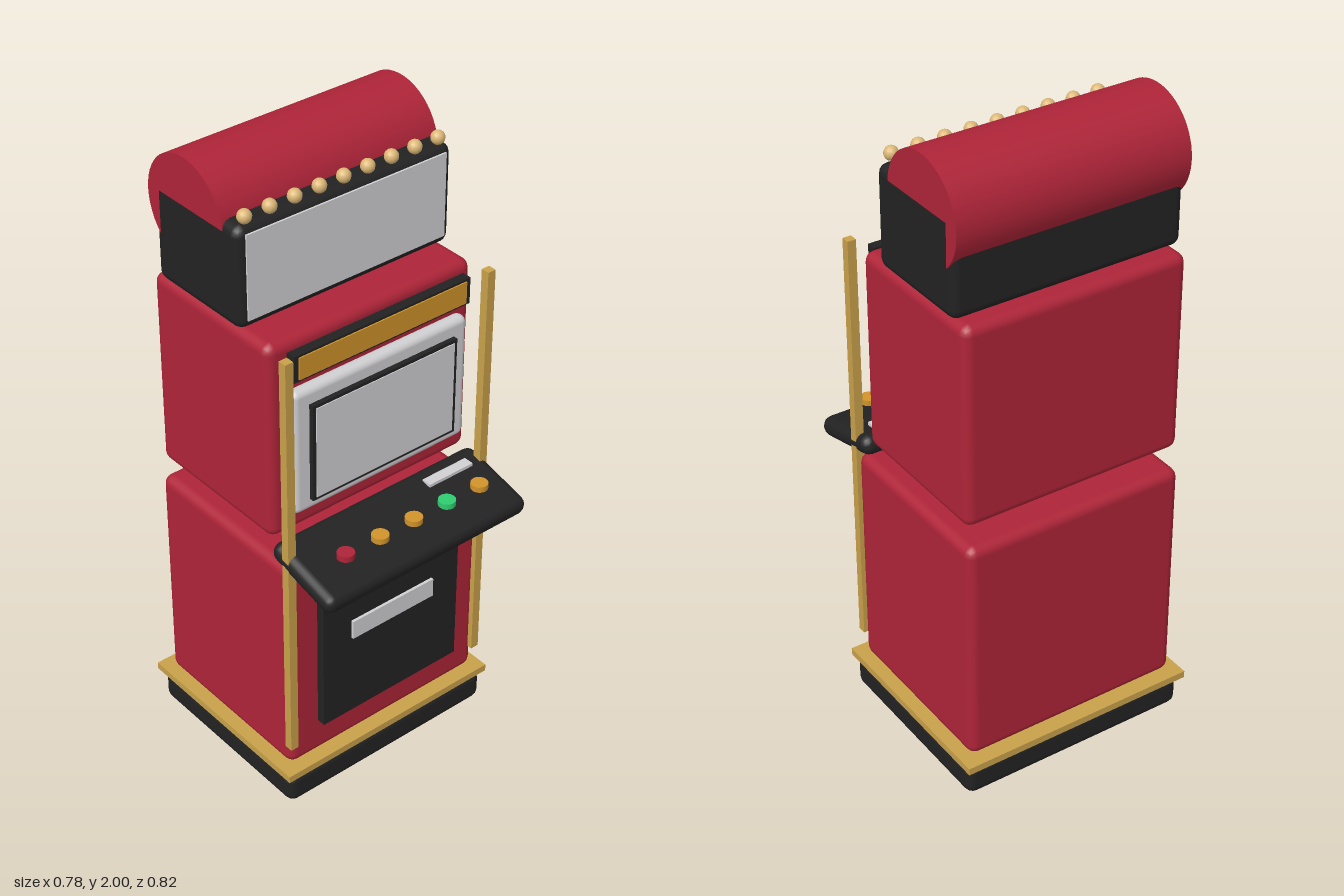
import * as THREE from 'three';
import { RoundedBoxGeometry } from 'three/addons/geometries/RoundedBoxGeometry.js';

const paint = (name, color) => {
  const m = new THREE.MeshStandardMaterial({ color });
  m.name = name;
  return m;
};

export function createModel() {
  const red = paint('cabinet red', 0xae2438);
  const black = paint('black', 0x222222);
  const silver = paint('silver', 0xd0d0d3);
  const brass = paint('brass', 0xc8a04a);
  const amber = paint('amber', 0xd0932a);
  const green = paint('green', 0x2ecc71);
  const bulb = paint('bulb tan', 0xdcb877);

  const model = new THREE.Group();
  model.name = 'slotMachine';

  const add = (name, geometry, material, x, y, z) => {
    const mesh = new THREE.Mesh(geometry, material);
    mesh.name = name;
    mesh.position.set(x, y, z);
    model.add(mesh);
    return mesh;
  };
  // Boxes given by their extents: [x0, x1], [y0, y1], [z0, z1]; rounded when r is set
  const box = (name, material, [x0, x1], [y0, y1], [z0, z1], r = 0) => {
    const size = [x1 - x0, y1 - y0, z1 - z0];
    const geometry = r ? new RoundedBoxGeometry(...size, 2, r) : new THREE.BoxGeometry(...size);
    return add(name, geometry, material, (x0 + x1) / 2, (y0 + y1) / 2, (z0 + z1) / 2);
  };

  // Plinth and cabinets
  box('base', black, [-0.38, 0.38], [0, 0.105], [-0.395, 0.24], 0.03);
  box('baseTrim', brass, [-0.39, 0.39], [0.105, 0.128], [-0.411, 0.247]);
  box('lowerCabinet', red, [-0.36, 0.36], [0.13, 0.867], [-0.377, 0.215], 0.03);
  box('upperCabinet', red, [-0.36, 0.36], [0.935, 1.567], [-0.365, 0.145], 0.03);

  // Lower door with its plate
  box('door', black, [-0.256, 0.256], [0.255, 0.705], [0.205, 0.243]);
  box('doorPlate', silver, [-0.153, 0.153], [0.537, 0.6], [0.243, 0.252]);

  // Screen: rounded frame, dark bezel, pale display
  box('screenFrame', silver, [-0.31, 0.31], [1.02, 1.423], [0.145, 0.19], 0.02);
  box('screenBezel', black, [-0.258, 0.258], [1.06, 1.375], [0.185, 0.205]);
  box('display', silver, [-0.247, 0.247], [1.07, 1.365], [0.205, 0.208]);

  // Lit strip above the screen
  box('stripHousing', black, [-0.31, 0.31], [1.465, 1.548], [0.163, 0.193]);
  box('strip', amber, [-0.295, 0.295], [1.472, 1.541], [0.193, 0.197]);

  // Marquee box with a drum-shaped topper
  box('marquee', black, [-0.37, 0.37], [1.57, 1.88], [-0.325, 0.042], 0.03);
  box('marqueePanel', silver, [-0.343, 0.343], [1.6, 1.86], [0.04, 0.046]);
  const drum = new THREE.CylinderGeometry(0.163, 0.163, 0.739, 48);
  add('topper', drum, red, 0, 1.837, -0.183).rotation.z = Math.PI / 2;

  // Row of bulbs along the marquee
  const bulbGeometry = new THREE.SphereGeometry(0.021, 12, 10);
  for (let i = -4; i <= 4; i++) add('bulb', bulbGeometry, bulb, i * 0.0825, 1.902, 0.022);

  // Square brass posts
  for (const s of [-1, 1]) {
    const x = s * 0.355;
    box('post', brass, [x - 0.0135, x + 0.0135], [0.21, 1.567], [0.203, 0.23]);
  }

  // Sloping console, its buttons and card plate
  const desk = new RoundedBoxGeometry(0.74, 0.062, 0.265, 2, 0.029);
  add('console', desk, black, 0, 0.884, 0.278).rotation.x = 0.24;
  const buttonGeometry = new THREE.CylinderGeometry(0.026, 0.026, 0.018, 16);
  [red, amber, amber, green, amber].forEach((material, i) =>
    add('button', buttonGeometry, material, (i - 2) * 0.1235, 0.946, 0.33));
  box('cardPlate', silver, [0.145, 0.308], [0.93, 0.94], [0.202, 0.235]);

  return model;
}
